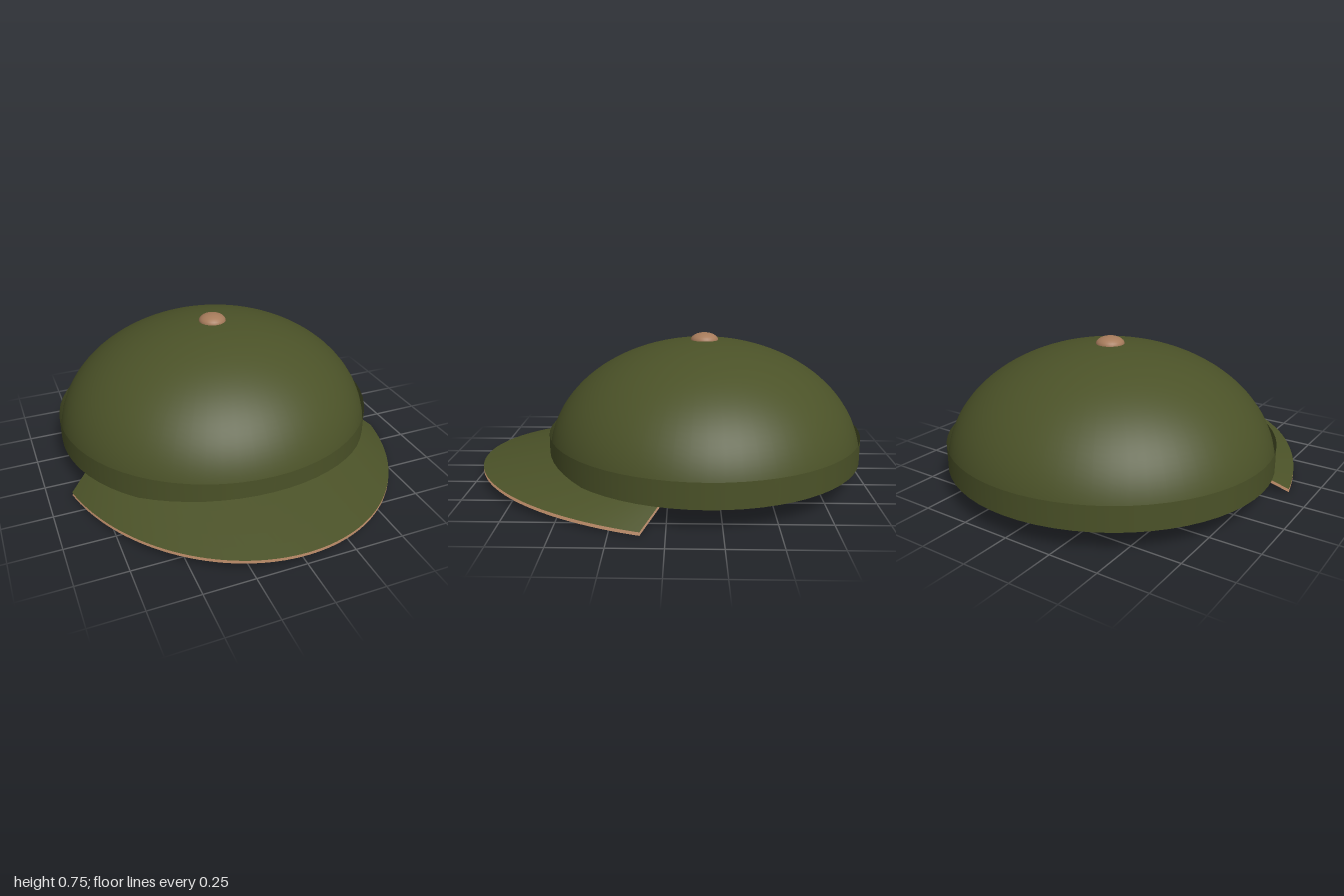
import * as THREE from 'three';

const green = new THREE.MeshStandardMaterial({ color: 0x4b5228, side: THREE.DoubleSide });
green.name = 'olive cloth';
const tan = new THREE.MeshStandardMaterial({ color: 0xa67b5b, side: THREE.DoubleSide });
tan.name = 'tan leather';

const CENTER_Z = -0.18, RX = 0.855, RZ = 0.82, BASE_Y = 0.11;

function add(group, name, geometry, material) {
  const mesh = new THREE.Mesh(geometry, material);
  mesh.name = name;
  group.add(mesh);
  return mesh;
}

// Curved sheet running from an inner arc under the crown to a wider outer arc
function brimSheet(drop) {
  const arcs = 64, rings = 6, positions = [], index = [];
  const point = (u, rx, rz, start, yEnd, yMid) => {
    const t = start + (Math.PI - 2 * start) * u;
    const rise = (Math.sin(t) - Math.sin(start)) / (1 - Math.sin(start));
    return new THREE.Vector3(rx * Math.cos(t), yEnd + (yMid - yEnd) * rise - drop, CENTER_Z + rz * Math.sin(t));
  };
  for (let i = 0; i <= arcs; i++) {
    const inner = point(i / arcs, 0.78, 0.74, 0.273, 0.107, 0.16);
    const outer = point(i / arcs, 0.908, 1.18, 0.25, 0.016, 0.067);
    for (let j = 0; j <= rings; j++) {
      positions.push(...inner.clone().lerp(outer, j / rings).toArray());
      if (i < arcs && j < rings) {
        const a = i * (rings + 1) + j, b = a + rings + 1;
        index.push(a, b, a + 1, b, b + 1, a + 1);
      }
    }
  }
  const geometry = new THREE.BufferGeometry();
  geometry.setAttribute('position', new THREE.Float32BufferAttribute(positions, 3));
  geometry.setIndex(index);
  geometry.computeVertexNormals();
  return geometry;
}

export function createModel() {
  const cap = new THREE.Group();
  cap.name = 'cap';

  // Hollow half-ellipsoid crown
  const crown = add(cap, 'crown', new THREE.SphereGeometry(1, 64, 32, 0, Math.PI * 2, 0, Math.PI / 2), green);
  crown.scale.set(RX, 0.6, RZ);
  crown.position.set(0, BASE_Y, CENTER_Z);

  // Upright open band around the base of the crown
  const band = add(cap, 'band', new THREE.CylinderGeometry(1, 1, 0.125, 64, 1, true), green);
  band.scale.set(RX, 1, RZ);
  band.position.set(0, BASE_Y + 0.0625, CENTER_Z);

  // Flattened button on top
  const button = add(cap, 'button', new THREE.SphereGeometry(0.073, 32, 16), tan);
  button.scale.y = 0.55;
  button.position.set(0, 0.705, CENTER_Z);

  // Brim: cloth on top, leather lining just below
  add(cap, 'brimTop', brimSheet(0), green);
  add(cap, 'brimLining', brimSheet(0.016), tan);

  return cap;
}
